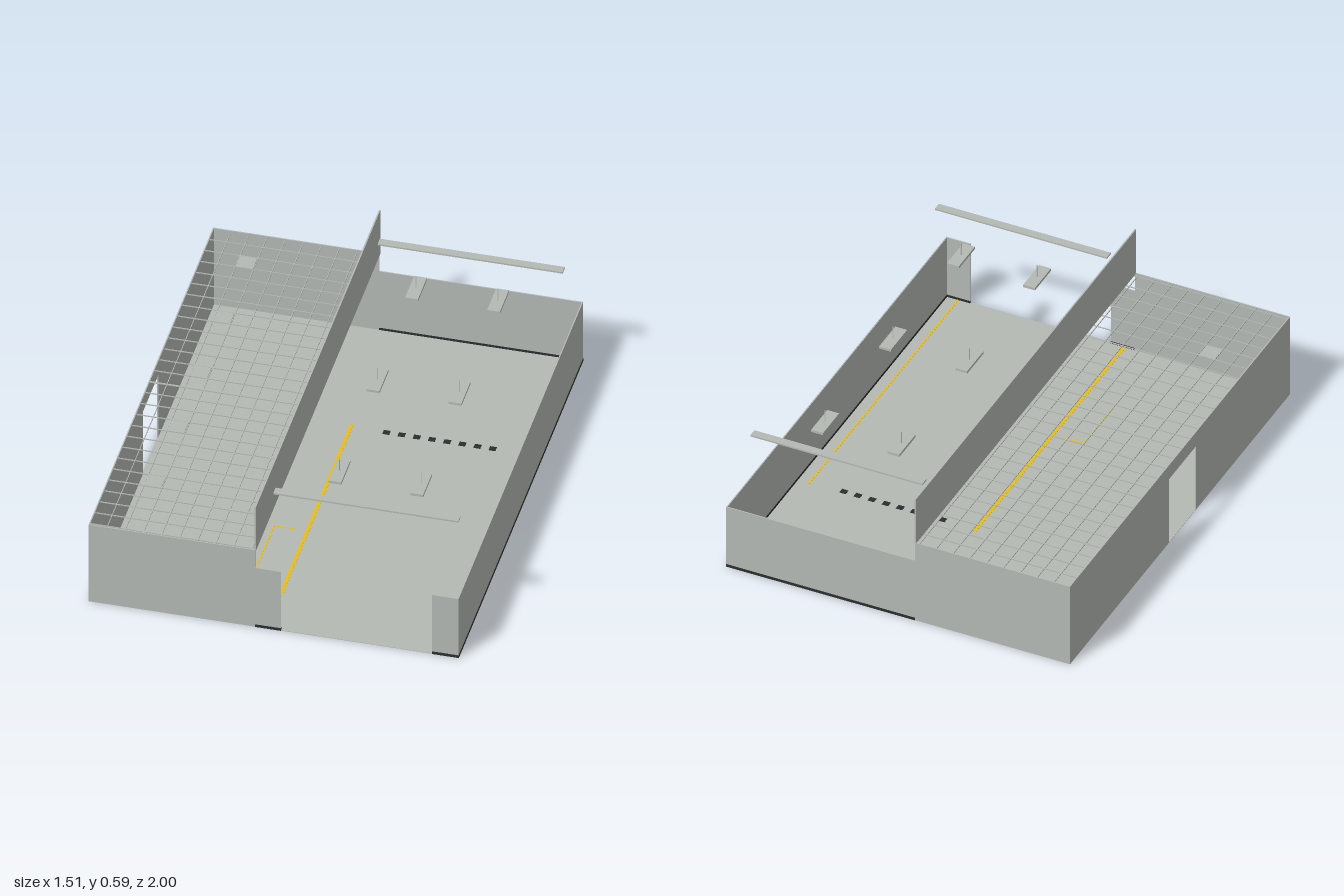
import * as THREE from 'three';

function material(name, color, side = THREE.FrontSide) {
  const m = new THREE.MeshStandardMaterial({ color, side });
  m.name = name;
  return m;
}

export function createModel() {
  const model = new THREE.Group();
  model.name = 'building';
  const grey = material('concrete grey', 0xb4b9b4);
  const dark = material('baseboard black', 0x2b2d2e);
  const yellow = material('marking yellow', 0xe6bd1e);

  const group = (name) => {
    const g = new THREE.Group();
    g.name = name;
    model.add(g);
    return g;
  };
  // Box given by its opposite corners
  const box = (parent, name, mat, [x0, x1], [y0, y1], [z0, z1]) => {
    const mesh = new THREE.Mesh(new THREE.BoxGeometry(x1 - x0, y1 - y0, z1 - z0), mat);
    mesh.position.set((x0 + x1) / 2, (y0 + y1) / 2, (z0 + z1) / 2);
    mesh.name = name;
    parent.add(mesh);
    return mesh;
  };

  const X = 0.752, Z = 1, T = 0.005, DIV = -0.075;
  const HIGH = 0.378, LOW = 0.29, DOOR = 0.31;
  const DOOR_Z = [-0.1, 0.145], GATE_X = [0.03, 0.645];

  // Floor
  box(model, 'floor', grey, [-X, X], [0, 0.002], [-Z, Z]);

  // High-ceilinged room, with a doorway in its side wall
  const walls = group('walls');
  const side = [-X, -X + T];
  box(walls, 'sideWallRear', grey, side, [0, HIGH], [-Z, DOOR_Z[0]]);
  box(walls, 'sideWallFront', grey, side, [0, HIGH], [DOOR_Z[1], Z]);
  box(walls, 'doorHeader', grey, side, [DOOR, HIGH], DOOR_Z);
  box(walls, 'roomBackWall', grey, [-X, DIV], [0, HIGH], [-Z, -Z + T]);
  box(walls, 'roomFrontWall', grey, [-X, DIV], [0, HIGH], [Z - T, Z]);

  // Lower walls around the bay, open at the front
  box(walls, 'bayBackWall', grey, [DIV, X], [0, LOW], [-Z, -Z + T]);
  box(walls, 'baySideWall', grey, [X - T, X], [0, LOW], [-Z, Z]);
  box(walls, 'bayFrontReturn', grey, [DIV, GATE_X[0]], [0, LOW], [Z - T, Z]);
  box(walls, 'bayFrontCorner', grey, [GATE_X[1], X], [0, LOW], [Z - T, Z]);

  // Bulkhead hanging between room and bay
  box(model, 'bulkhead', grey, [DIV - 0.003, DIV + 0.003], [0.374, 0.59], [-Z, Z]);

  // Baseboards, showing on both faces of the bay walls
  const base = group('baseboards');
  const E = 0.0015, BY = [0, 0.012];
  box(base, 'backBaseboard', dark, [DIV, X], BY, [-Z - E, -Z + T + E]);
  box(base, 'sideBaseboard', dark, [X - T - E, X + E], BY, [-Z, Z]);
  box(base, 'returnBaseboard', dark, [DIV, GATE_X[0]], BY, [Z - T - E, Z + E]);
  box(base, 'cornerBaseboard', dark, [GATE_X[1], X], BY, [Z - T - E, Z + E]);

  // Suspended ceiling grid of thin bars
  const ceiling = group('ceilingGrid');
  const cell = 0.0735, W = 0.0015, CY = [0.371, 0.375];
  for (let i = 1; i <= 9; i++) {
    const x = -X + i * cell;
    box(ceiling, 'longBar', grey, [x - W, x + W], CY, [-Z, Z]);
  }
  for (let j = 1; j <= 27; j++) {
    const z = -Z + j * cell;
    if (z < Z) box(ceiling, 'crossBar', grey, [-X, DIV], CY, [z - W, z + W]);
  }
  box(ceiling, 'middleBar', grey, [-X, DIV], CY, [0.028, 0.034]);

  // Square light panels set in the grid
  for (let i = 0; i < 5; i++) {
    const z = -0.82 + i * 0.369;
    box(ceiling, 'ceilingLight', grey, [-0.607, -0.535], [0.37, 0.374], [z - 0.037, z + 0.037]);
  }

  // Hanging lamps over the bay
  const lamps = group('hangingLamps');
  for (const x of [0.17, 0.503]) {
    for (const z of [-0.617, 0, 0.615]) {
      box(lamps, 'lamp', grey, [x - 0.026, x + 0.026], [0.523, 0.534], [z - 0.073, z + 0.073]);
      box(lamps, 'lampRod', grey, [x - 0.0015, x + 0.0015], [0.534, 0.59], [z - 0.0015, z + 0.0015]);
    }
  }

  // Cross beams over both ends of the bay
  for (const z of [-0.84, 0.835]) {
    box(model, 'overheadBeam', grey, [-0.038, 0.714], [0.553, 0.56], [z - 0.018, z + 0.018]);
  }

  // Painted floor markings
  const marks = group('floorMarkings');
  const MY = [0.001, 0.003];
  box(marks, 'laneLine', yellow, [-0.036, -0.021], MY, [-0.37, 0.994]);
  box(marks, 'edgeLine', yellow, [0.694, 0.702], MY, [-0.37, 0.994]);
  box(marks, 'bayMarkSide', yellow, [-0.167, -0.161], MY, [0.343, 0.625]);
  box(marks, 'bayMarkEnd', yellow, [-0.167, -0.08], MY, [0.343, 0.349]);
  for (let i = 0; i < 8; i++) {
    const x = 0.117 + i * 0.0617;
    box(marks, 'floorSquare', dark, [x - 0.014, x + 0.014], MY, [-0.365, -0.339]);
  }

  return model;
}
